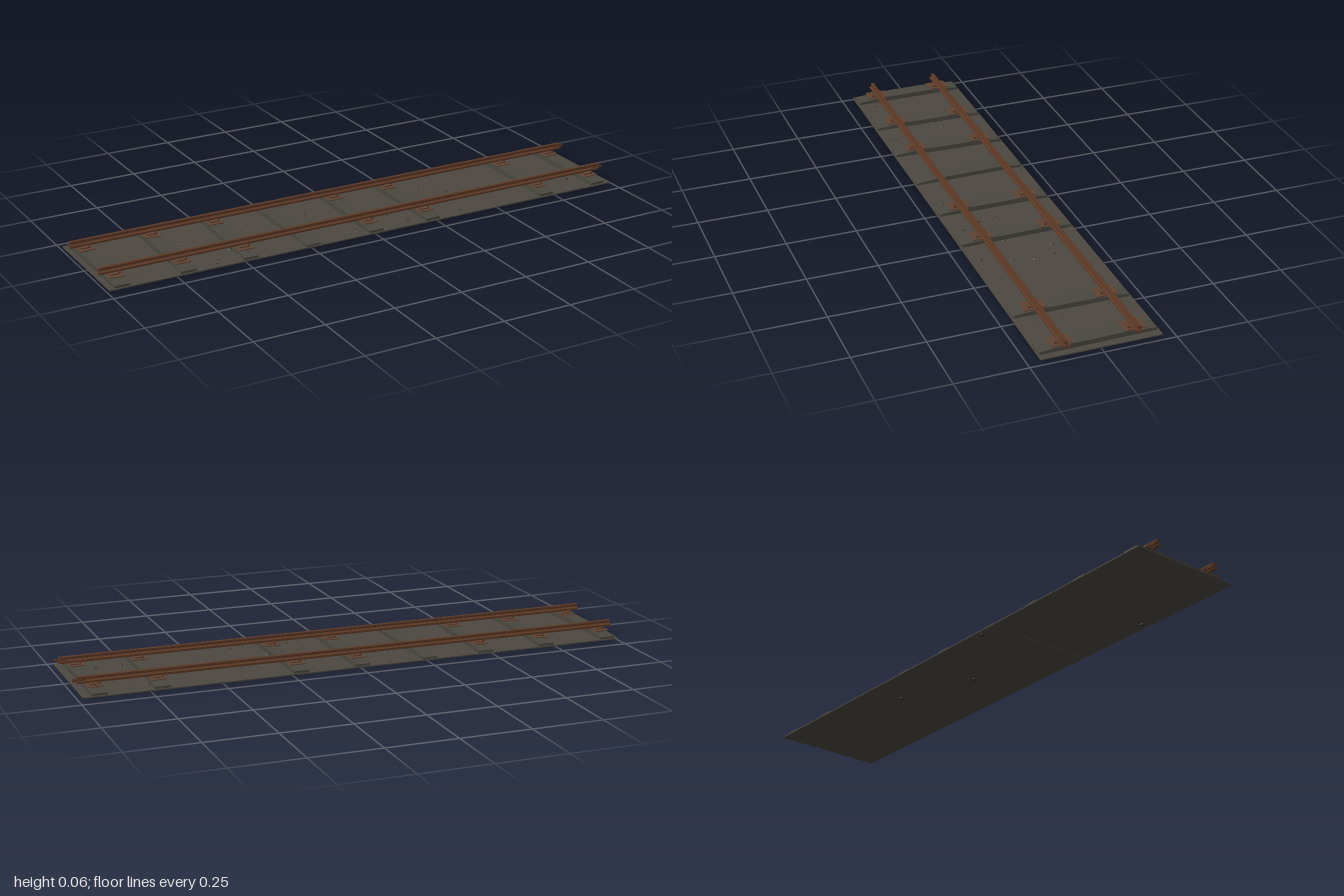
import * as THREE from 'three';

const mat = (name, color, side = THREE.FrontSide) => {
  const m = new THREE.MeshStandardMaterial({ color, flatShading: true, side });
  m.name = name;
  return m;
};

// Extrudes a profile given as [z, y] points along x, centred on x = 0
function extrudeAlongX(points, length) {
  const shape = new THREE.Shape(points.map(([z, y]) => new THREE.Vector2(z, y)));
  const geo = new THREE.ExtrudeGeometry(shape, { depth: length, bevelEnabled: false });
  geo.translate(0, 0, -length / 2);
  return geo.rotateY(Math.PI / 2);
}

// Completes a right-hand half profile, listed bottom to top, by mirroring it
const mirrored = half => [...half, ...half.slice().reverse().map(([z, y]) => [-z, y])];

export function createModel() {
  const model = new THREE.Group();
  model.name = 'railwayTrack';
  const earth = mat('earth', 0x4c4841);
  const wood = mat('weatheredWood', 0x49473f);
  const stone = mat('darkStone', 0x34322d);
  const rust = mat('rustedRail', 0x5c3825);
  const plateRust = mat('rustedPlate', 0x5f4332);

  let seed = 7;
  const rand = () => (seed = (seed * 16807) % 2147483647) / 2147483647;

  const add = (name, geo, material, x = 0, y = 0, z = 0, parent = model) => {
    const mesh = new THREE.Mesh(geo, material);
    mesh.name = name;
    mesh.position.set(x, y, z);
    parent.add(mesh);
    return mesh;
  };

  // Thin bed of packed earth
  add('groundBed', new THREE.BoxGeometry(1.98, 0.004, 0.416), earth, -0.005, 0.01, 0);

  // Rails: foot, web and head
  const railProfile = mirrored([
    [0.006, 0.036], [0.006, 0.040], [0.0125, 0.0415], [0.0125, 0.0455],
    [0.004, 0.048], [0.003, 0.051], [0.006, 0.053], [0.006, 0.059], [0.005, 0.06],
  ]);
  const railGeo = extrudeAlongX(railProfile, 1.985);
  const jointGeo = new THREE.BoxGeometry(0.045, 0.008, 0.004);
  const boltGeo = new THREE.CylinderGeometry(0.002, 0.002, 0.018, 6).rotateX(Math.PI / 2);
  for (const z of [0.125, -0.125]) {
    add('rail', railGeo, rust, -0.0075, 0, z);
    // Joint plates and bolts at the far end
    for (const s of [1, -1]) add('jointPlate', jointGeo, rust, 0.9775, 0.048, z + s * 0.006);
    for (const x of [0.965, 0.99]) add('jointBolt', boltGeo, rust, x, 0.048, z);
  }

  // Sleepers with worn, sloping ends: x, yaw, drop, carries plates
  const sleepers = [
    [-0.95, 0.01, 0, true], [-0.71, -0.01, 0, true], [-0.475, -0.03, 0, true],
    [-0.25, 0.015, 0.002, false], [0, 0, 0, true], [0.225, 0.01, 0, true],
    [0.71, -0.01, 0, true], [0.93, 0.01, 0, true],
  ];
  const sleeperGeo = extrudeAlongX(mirrored([
    [0.198, 0.007], [0.202, 0.010], [0.202, 0.020], [0.198, 0.022],
    [0.14, 0.026], [0.09, 0.029],
  ]), 0.056);
  const plateGeo = new THREE.BoxGeometry(0.055, 0.003, 0.075);
  const saddleGeo = new THREE.BoxGeometry(0.035, 0.004, 0.044);
  const spikeGeo = new THREE.CylinderGeometry(0.004, 0.003, 0.012, 6);

  for (const [x, yaw, drop, plated] of sleepers) {
    const group = new THREE.Group();
    group.name = 'sleeperAssembly';
    group.position.set(x, -drop, 0);
    group.rotation.y = yaw;
    model.add(group);
    add('sleeper', sleeperGeo, wood, 0, 0, 0, group);
    if (!plated) continue;
    for (const z of [0.125, -0.125]) {
      const plate = add('tiePlate', plateGeo, plateRust, 0, 0.031, z, group);
      plate.rotation.y = (rand() - 0.5) * 0.12;
      add('railSaddle', saddleGeo, plateRust, 0, 0.0345, z, group);
      // Spikes diagonally across the rail
      for (const s of [1, -1]) add('spike', spikeGeo, rust, s * 0.015, 0.034, z + s * 0.018, group);
    }
  }

  // Loose pebbles half buried in the bed
  const pebbleGeo = new THREE.IcosahedronGeometry(1, 0);
  for (let i = 0; i < 34; i++) {
    const r = 0.003 + rand() * 0.004;
    const pebble = add('pebble', pebbleGeo, stone, (rand() - 0.5) * 1.9, 0.011, (rand() - 0.5) * 0.39);
    pebble.scale.set(r * 1.3, Math.min(r, 0.005), r);
    pebble.rotation.y = rand() * 6;
  }
  // Low stones showing beneath the bed
  for (const [x, z] of [[-0.6, 0.18], [0.1, 0.02], [0.4, -0.08], [-0.2, -0.19]]) {
    add('underStone', pebbleGeo, stone, x, 0.007, z).scale.set(0.012, 0.007, 0.01);
  }
  return model;
}
